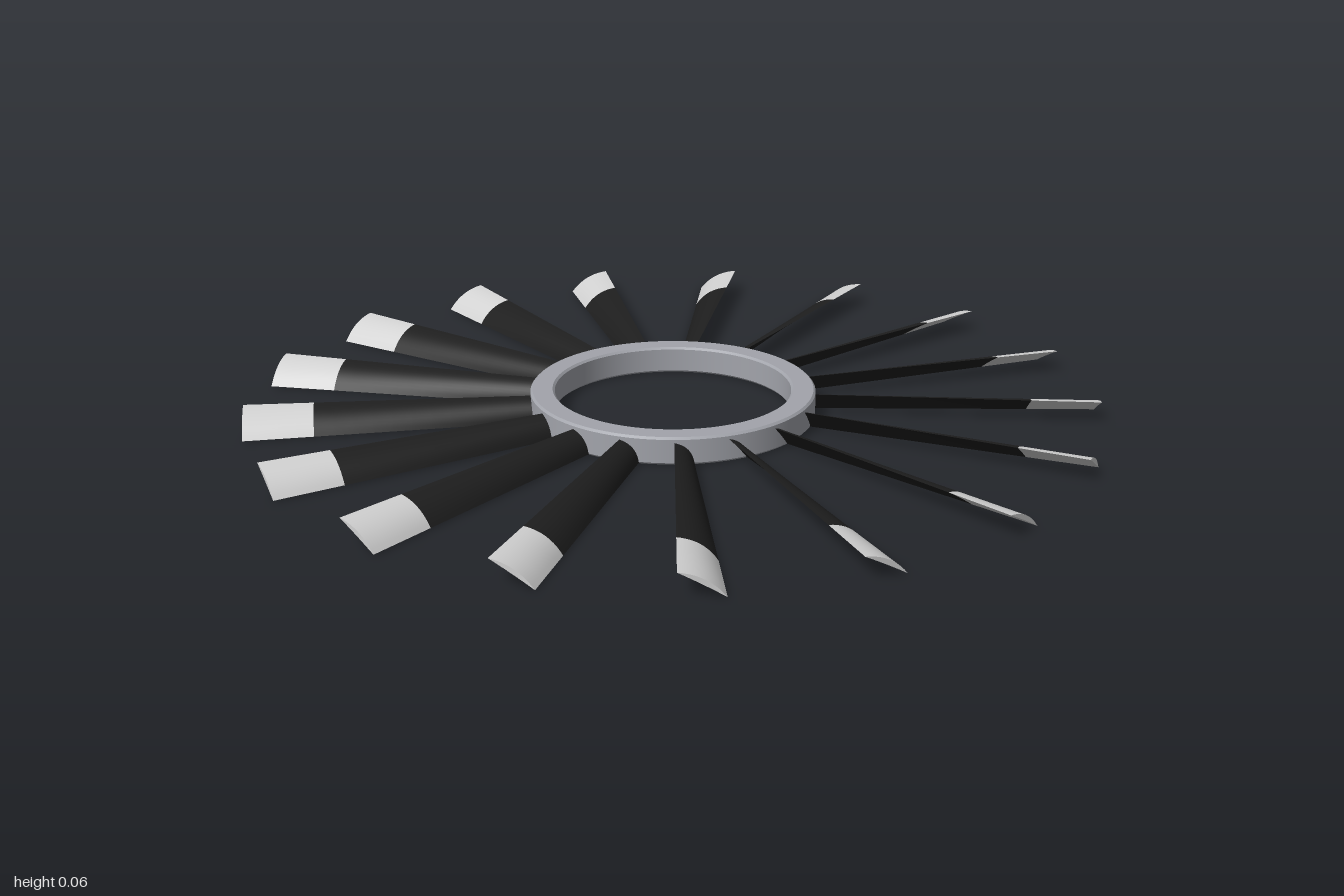
import * as THREE from 'three';
import { ParametricGeometry } from 'three/addons/geometries/ParametricGeometry.js';

const BLADES = 17;
const ROOT = 0.3, BAND = 0.835, TIP = 0.996;

function material(name, color, side = THREE.FrontSide) {
  const m = new THREE.MeshStandardMaterial({ color, side });
  m.name = name;
  return m;
}

// Point on the twisted, cambered blade: r along the span, s = -1..1 across the chord,
// k = 0 on the underside and 1 on the upper side
function bladePoint(r, s, k, target) {
  const t = (r - ROOT) / (TIP - ROOT);
  const halfWidth = THREE.MathUtils.lerp(0.021, 0.048, t);
  const halfRise = THREE.MathUtils.lerp(0.025, 0.0265, t);
  const len = Math.hypot(halfWidth, halfRise);
  const bulge = (0.001 + 0.011 * k) * (1 - s * s);
  target.set(
    r,
    0.028 + s * halfRise + bulge * halfWidth / len,
    -0.01 + s * halfWidth - bulge * halfRise / len
  );
}

function surface(fn, slices, stacks) {
  const g = new ParametricGeometry(fn, slices, stacks);
  g.computeVertexNormals();
  return g;
}

// Upper and lower skins between two radii
function skins(r0, r1, slices) {
  const radius = (u) => THREE.MathUtils.lerp(r0, r1, u);
  return [
    surface((u, v, p) => bladePoint(radius(u), 1 - 2 * v, 1, p), slices, 10),
    surface((u, v, p) => bladePoint(radius(u), 2 * v - 1, 0, p), slices, 10),
  ];
}

export function createModel() {
  const model = new THREE.Group();
  model.name = 'bladedRing';

  const ringGrey = material('ringGrey', 0xa2a4ab);
  const black = material('bladeBlack', 0x1e1e1e, THREE.DoubleSide);
  const tipGrey = material('tipGrey', 0xd2d2d2, THREE.DoubleSide);

  // Hub ring with small bevels; each profile edge is lathed alone to stay crisp
  const ring = new THREE.Group();
  ring.name = 'hubRing';
  const profile = [
    [0.278, 0.005], [0.283, 0], [0.33, 0], [0.335, 0.005],
    [0.335, 0.06], [0.33, 0.065], [0.283, 0.065], [0.278, 0.06],
  ].map(([x, y]) => new THREE.Vector2(x, y));
  profile.forEach((p, i) => {
    const next = profile[(i + 1) % profile.length];
    const band = new THREE.Mesh(new THREE.LatheGeometry([p, next], 96), ringGrey);
    band.name = 'ringFace';
    ring.add(band);
  });
  model.add(ring);

  // Blade parts shared by all blades
  const shaft = skins(ROOT, BAND, 12);
  const tip = skins(BAND, TIP, 4);
  tip.push(surface((u, v, p) => bladePoint(TIP, 2 * v - 1, u, p), 1, 10));

  for (let i = 0; i < BLADES; i++) {
    const blade = new THREE.Group();
    blade.name = 'blade';
    for (const [name, parts, mat] of [['bladeShaft', shaft, black], ['bladeTip', tip, tipGrey]]) {
      for (const geometry of parts) {
        const mesh = new THREE.Mesh(geometry, mat);
        mesh.name = name;
        blade.add(mesh);
      }
    }
    blade.rotation.y = (i / BLADES) * Math.PI * 2;
    model.add(blade);
  }
  return model;
}
